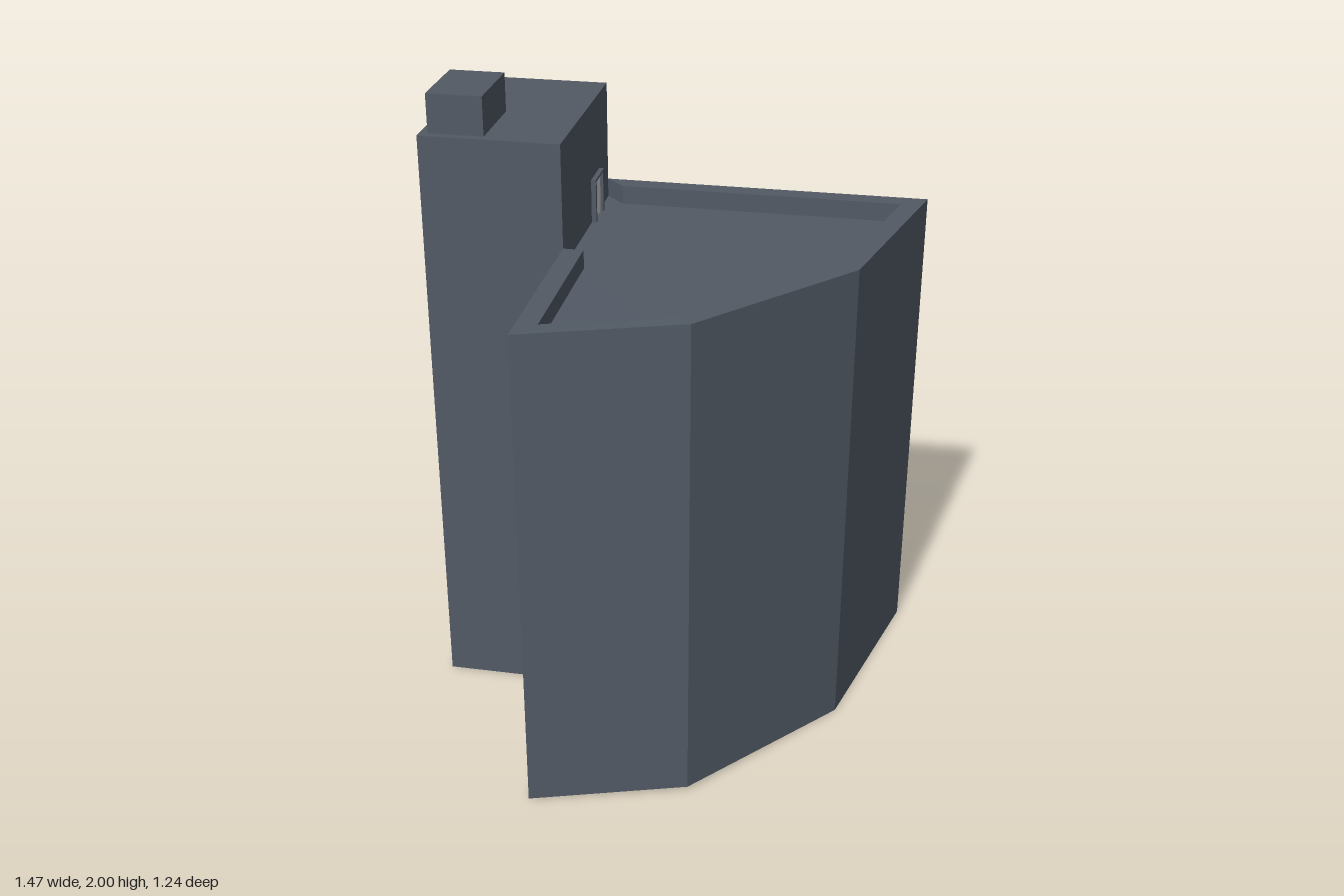
import * as THREE from 'three';

const FLOOR = 1.5, RIM = 1.56, TOWER = 1.88, TOP = 2;
const wall = new THREE.MeshStandardMaterial({ color: 0x525a65, flatShading: true });
const grey = new THREE.MeshStandardMaterial({ color: 0xcccccc, flatShading: true });

// Upright prism over a plan outline given as [x, z] points
function prism(name, plan, y0, y1) {
  const shape = new THREE.Shape(plan.map(([x, z]) => new THREE.Vector2(x, -z)));
  const geo = new THREE.ExtrudeGeometry(shape, { depth: y1 - y0, bevelEnabled: false });
  geo.rotateX(-Math.PI / 2).translate(0, y0, 0);
  // The front facet corner sits slightly higher than the rest
  const p = geo.attributes.position;
  for (let i = 0; i < p.count; i++) {
    if (p.getX(i) > 0.1 && p.getX(i) < 0.2) p.setY(i, p.getY(i) + 0.013);
  }
  geo.computeVertexNormals();
  const mesh = new THREE.Mesh(geo, wall);
  mesh.name = name;
  return mesh;
}

// Box given by its minimum and maximum corners
function block(name, [x0, y0, z0], [x1, y1, z1], material = wall) {
  const mesh = new THREE.Mesh(new THREE.BoxGeometry(x1 - x0, y1 - y0, z1 - z0), material);
  mesh.position.set((x0 + x1) / 2, (y0 + y1) / 2, (z0 + z1) / 2);
  mesh.name = name;
  return mesh;
}

export function createModel() {
  const model = new THREE.Group();
  model.name = 'building';

  const outer = [[-0.305, 0.62], [0.165, 0.49], [0.57, 0], [0.73, -0.62]];
  const inner = [[0.65, -0.56], [0.512, -0.03], [0.13, 0.437], [-0.243, 0.54]];

  // Whole footprint up to the roof floor
  model.add(prism('mainBody', [[-0.305, 0], ...outer, [-0.735, -0.62], [-0.735, 0]], 0, FLOOR));

  // Parapet, open along the tower and mitred at its back end
  model.add(prism('parapet',
    [[-0.305, 0], ...outer, [-0.305, -0.62], [-0.243, -0.56], ...inner, [-0.243, 0]], FLOOR, RIM));

  // Stair tower and chimney
  model.add(block('stairTower', [-0.735, FLOOR, -0.62], [-0.305, TOWER, 0]));
  model.add(block('chimney', [-0.71, TOWER, -0.273], [-0.54, TOP, -0.027]));

  // Roof door in the tower's side
  const door = new THREE.Group();
  door.name = 'roofDoor';
  const x0 = -0.305, x1 = -0.29;
  door.add(block('doorJambBack', [x0, FLOOR, -0.495], [x1, 1.64, -0.482]));
  door.add(block('doorJambFront', [x0, FLOOR, -0.39], [x1, 1.64, -0.377]));
  door.add(block('doorLintel', [x0, 1.632, -0.482], [x1, 1.64, -0.39]));
  door.add(block('doorPanel', [x0, FLOOR, -0.482], [-0.3, 1.632, -0.39], grey));
  model.add(door);

  return model;
}
